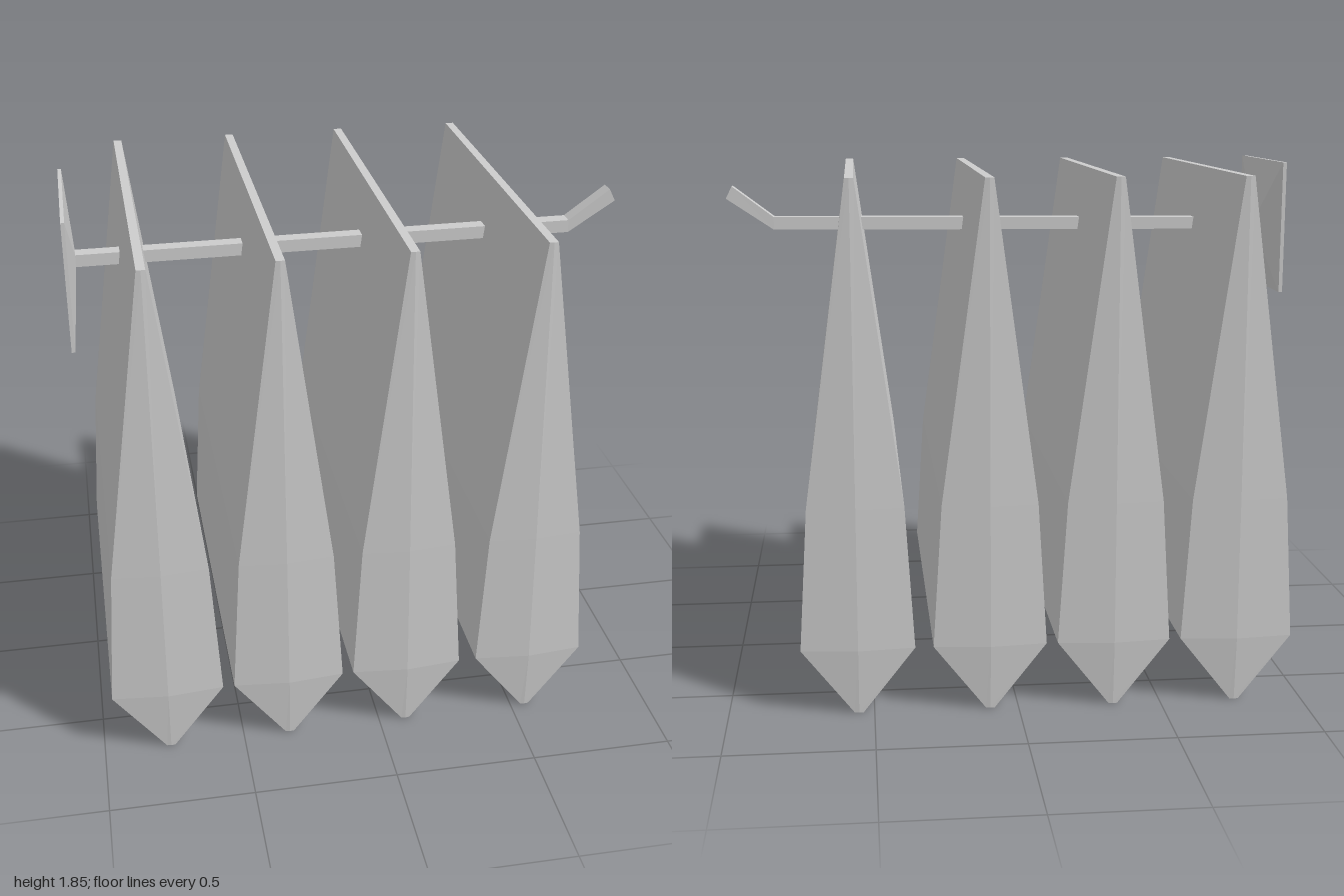
import * as THREE from 'three';

const fabricGrey = new THREE.MeshStandardMaterial({ color: 0xcccccc });
fabricGrey.name = 'fabricGrey';

// Faceted solid through rings of points, each counter-clockwise seen from the far end
function loft(rings) {
  const pos = [];
  const tri = (...pts) => pts.forEach((p) => pos.push(...p));
  const n = rings[0].length;
  for (let i = 0; i < rings.length - 1; i++) {
    for (let j = 0; j < n; j++) {
      const k = (j + 1) % n;
      const a = rings[i][j], b = rings[i][k], c = rings[i + 1][k], d = rings[i + 1][j];
      tri(a, b, c);
      tri(a, c, d);
    }
  }
  const first = rings[0], last = rings[rings.length - 1];
  for (let j = 1; j < n - 1; j++) {
    tri(first[0], first[j + 1], first[j]);
    tri(last[0], last[j], last[j + 1]);
  }
  const geo = new THREE.BufferGeometry();
  geo.setAttribute('position', new THREE.Float32BufferAttribute(pos, 3));
  geo.computeVertexNormals();
  return geo;
}

// Six-sided garment section: flat sides, ridged front and back
const garmentRing = ([y, w, ridge]) => [
  [0, y, ridge], [w, y, 0.692], [w, y, -0.692],
  [0, y, -ridge], [-w, y, -0.692], [-w, y, 0.692],
];

// Rectangular section across the rail; lean slants the upper edge in x
const railRing = (x, y, z, h, d, lean = 0) => [
  [x - lean, y + h, z - d], [x - lean, y + h, z + d],
  [x + lean, y - h, z + d], [x + lean, y - h, z - d],
];

export function createModel() {
  const model = new THREE.Group();
  model.name = 'garmentRail';
  const add = (name, geo) => {
    const mesh = new THREE.Mesh(geo, fabricGrey);
    mesh.name = name;
    model.add(mesh);
    return mesh;
  };

  // Hanging garments: [height, half width, ridge depth]
  const garment = loft([
    [0, 0.015, 0.694], [0.23, 0.196, 0.711], [0.73, 0.165, 0.709], [1.83, 0.015, 0.694],
  ].map(garmentRing));
  [-0.765, -0.333, 0.098, 0.553].forEach((x, i) => {
    add('garment' + (i + 1), garment).position.x = x;
  });

  // Rail with upturned end
  add('rail', loft([
    railRing(-1, 1.618, -0.005, 0.022, 0.028),
    railRing(0.83, 1.63, -0.004, 0.023, 0.028),
    railRing(0.989, 1.742, 0.002, 0.022, 0.028, 0.011),
  ]));

  // Wall plate tapering into the rail
  add('wallPlate', loft([
    railRing(-0.998, 1.622, -0.003, 0.232, 0.292),
    railRing(-0.985, 1.622, -0.003, 0.232, 0.292),
    railRing(-0.96, 1.619, -0.005, 0.023, 0.029),
  ]));

  return model;
}
